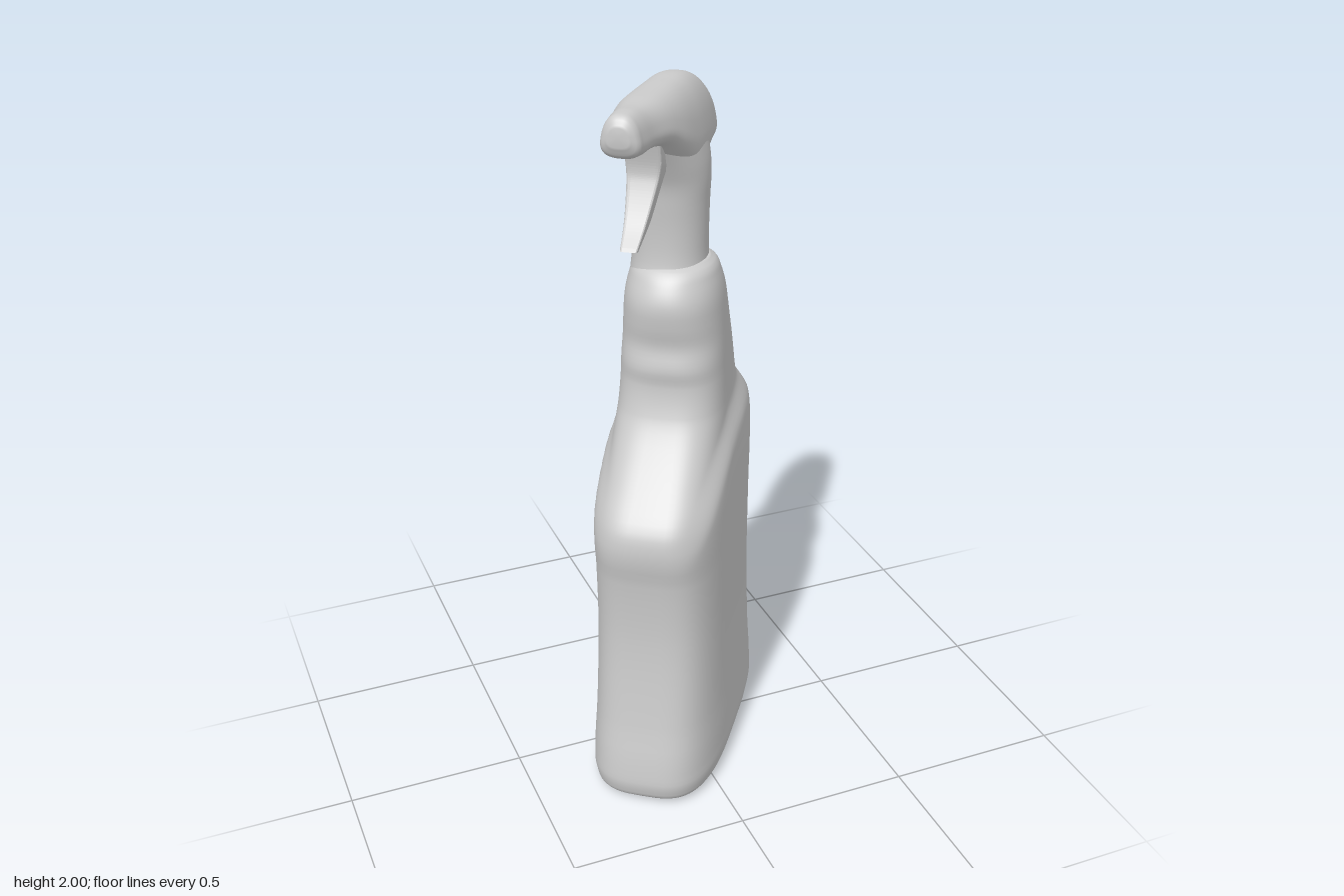
import * as THREE from 'three';

const SEG = 72;

// Smooth interpolation through rows whose first entry is the position
function makeSampler(rows) {
  const size = rows[0].length - 1;
  const interp = new THREE.CubicInterpolant(
    rows.map(r => r[0]), rows.flatMap(r => r.slice(1)), size, new Float32Array(size));
  return t => Array.from(interp.evaluate(t));
}

// Positions along a table: every row plus even steps between rows
function stations(rows, steps) {
  const out = [];
  for (let i = 0; i < rows.length - 1; i++)
    for (let k = 0; k < steps; k++)
      out.push(THREE.MathUtils.lerp(rows[i][0], rows[i + 1][0], k / steps));
  out.push(rows[rows.length - 1][0]);
  return out;
}

// Unit superellipse point
function superPoint(i, n) {
  const a = (i / SEG) * Math.PI * 2, c = Math.cos(a), s = Math.sin(a);
  return [Math.sign(c) * Math.abs(c) ** (2 / n), Math.sign(s) * Math.abs(s) ** (2 / n)];
}

// Skin over closed rings, with a fan at each end
function loft(rings) {
  const pos = [], index = [], last = (rings.length - 1) * SEG;
  rings.forEach(ring => ring.forEach(p => pos.push(...p)));
  for (let r = 0; r < rings.length - 1; r++)
    for (let i = 0; i < SEG; i++) {
      const a = r * SEG + i, b = r * SEG + (i + 1) % SEG;
      index.push(a, a + SEG, b, b, a + SEG, b + SEG);
    }
  const addCap = (ring, start, flip) => {
    const c = pos.length / 3;
    pos.push(...[0, 1, 2].map(k => ring.reduce((sum, p) => sum + p[k], 0) / SEG));
    for (let i = 0; i < SEG; i++) {
      const a = start + i, b = start + (i + 1) % SEG;
      index.push(c, flip ? b : a, flip ? a : b);
    }
  };
  addCap(rings[0], 0, false);
  addCap(rings[rings.length - 1], last, true);
  const g = new THREE.BufferGeometry();
  g.setAttribute('position', new THREE.Float32BufferAttribute(pos, 3));
  g.setIndex(index);
  g.computeVertexNormals();
  return g;
}

// Bottle: height, front reach, back reach, panel half width, shoulder half width, squareness
function bottleGeometry() {
  const rows = [
    [0, 0.345, 0.345, 0.15, 0.15, 3.3],
    [0.008, 0.375, 0.375, 0.172, 0.172, 3.3],
    [0.04, 0.398, 0.398, 0.188, 0.188, 3.3],
    [0.1, 0.398, 0.392, 0.19, 0.188, 3.3],
    [0.25, 0.371, 0.362, 0.184, 0.184, 3.4],
    [0.5, 0.345, 0.336, 0.179, 0.179, 3.5],
    [0.7, 0.354, 0.333, 0.179, 0.176, 3.5],
    [0.8, 0.37, 0.338, 0.179, 0.171, 3.5],
    [0.87, 0.356, 0.346, 0.179, 0.165, 3.5],
    [0.95, 0.288, 0.354, 0.178, 0.158, 3.4],
    [1.02, 0.232, 0.35, 0.176, 0.153, 3.2],
    [1.08, 0.19, 0.315, 0.168, 0.149, 3],
    [1.12, 0.17, 0.285, 0.158, 0.146, 2.8],
    [1.2, 0.153, 0.265, 0.142, 0.142, 2.6],
    [1.25, 0.158, 0.25, 0.14, 0.14, 2.5],
    [1.31, 0.147, 0.225, 0.137, 0.137, 2.4],
    [1.37, 0.157, 0.198, 0.134, 0.134, 2.3],
    [1.43, 0.16, 0.168, 0.13, 0.13, 2.2],
    [1.48, 0.14, 0.14, 0.12, 0.12, 2.1],
    [1.51, 0.115, 0.118, 0.108, 0.108, 2.1],
    [1.525, 0.09, 0.09, 0.09, 0.09, 2]
  ];
  const at = makeSampler(rows);
  return loft(stations(rows, 4).map(y => {
    const [front, back, panel, shoulder, n] = at(y);
    return Array.from({ length: SEG }, (_, i) => {
      const [c, s] = superPoint(i, n);
      const z = s * (s > 0 ? front : back);
      // The side panel ends under an arch that falls toward the front
      const arch = 1.07 - Math.max(0, z + 0.17) ** 2;
      const t = THREE.MathUtils.smoothstep(y, arch - 0.04, arch + 0.05);
      return [c * THREE.MathUtils.lerp(panel, shoulder, t), y, z];
    });
  }));
}

// Neck: height, front reach, back reach, half width
function neckGeometry() {
  const rows = [
    [1.48, 0.112, 0.115, 0.105],
    [1.53, 0.102, 0.108, 0.1],
    [1.6, 0.1, 0.108, 0.1],
    [1.68, 0.106, 0.112, 0.102],
    [1.74, 0.115, 0.122, 0.104],
    [1.79, 0.135, 0.14, 0.1],
    [1.86, 0.17, 0.155, 0.085]
  ];
  const at = makeSampler(rows);
  return loft(stations(rows, 4).map(y => {
    const [front, back, w] = at(y);
    return Array.from({ length: SEG }, (_, i) => {
      const [c, s] = superPoint(i, 2.2);
      return [c * w - 0.014, y, s * (s > 0 ? front : back)];
    });
  }));
}

// Spray head: position from back to nozzle, underside, top, half width, sideways offset
function headGeometry() {
  const rows = [
    [-0.226, 1.805, 1.835, 0.02, 0.006],
    [-0.218, 1.79, 1.865, 0.04, 0.005],
    [-0.19, 1.78, 1.915, 0.06, 0.001],
    [-0.13, 1.77, 1.968, 0.077, -0.008],
    [-0.05, 1.755, 1.996, 0.09, -0.017],
    [0.05, 1.765, 2, 0.095, -0.023],
    [0.13, 1.82, 2, 0.09, -0.027],
    [0.2, 1.872, 2, 0.077, -0.031],
    [0.28, 1.888, 1.998, 0.058, -0.035],
    [0.35, 1.89, 2, 0.049, -0.038],
    [0.375, 1.9, 1.993, 0.043, -0.039],
    [0.388, 1.925, 1.972, 0.025, -0.039]
  ];
  const at = makeSampler(rows);
  return loft(stations(rows, 4).map(z => {
    const [bottom, top, w, x] = at(z);
    return Array.from({ length: SEG }, (_, i) => {
      const [c, s] = superPoint(i, 2.6);
      const taper = 1 + 0.22 * s;
      return [c * w * taper + x, (top + bottom) / 2 - s * (top - bottom) / 2, z];
    });
  }));
}

// Trigger: curved lever, thinned toward its tip
function triggerGeometry() {
  const v = (z, y) => new THREE.Vector2(z, y);
  const shape = new THREE.Shape();
  shape.moveTo(0.09, 1.9);
  shape.lineTo(0.09, 1.8);
  shape.splineThru([v(0.13, 1.79), v(0.16, 1.755), v(0.21, 1.685), v(0.29, 1.637)]);
  shape.lineTo(0.302, 1.64);
  shape.splineThru([v(0.25, 1.695), v(0.208, 1.77), v(0.198, 1.82), v(0.215, 1.9)]);
  const g = new THREE.ExtrudeGeometry(shape, {
    depth: 0.06, curveSegments: 8, bevelEnabled: true,
    bevelThickness: 0.012, bevelSize: 0.005, bevelSegments: 3
  });
  g.translate(0, 0, -0.03);
  g.rotateY(-Math.PI / 2);
  const p = g.attributes.position;
  for (let i = 0; i < p.count; i++) {
    const k = THREE.MathUtils.clamp((p.getY(i) - 1.63) / 0.2, 0, 1);
    p.setX(i, p.getX(i) * (0.5 + 0.6 * k) - 0.042 + 0.012 * k);
  }
  g.computeVertexNormals();
  return g;
}

export function createModel() {
  const material = new THREE.MeshStandardMaterial({ color: 0xcccccc, roughness: 0.7 });
  const model = new THREE.Group();
  model.name = 'sprayBottle';
  const parts = {
    bottle: bottleGeometry(), neck: neckGeometry(),
    sprayHead: headGeometry(), trigger: triggerGeometry()
  };
  for (const [name, geometry] of Object.entries(parts)) {
    const mesh = new THREE.Mesh(geometry, material);
    mesh.name = name;
    // The whole bottle stands turned about its vertical axis
    mesh.rotation.y = -0.635;
    model.add(mesh);
  }
  return model;
}
